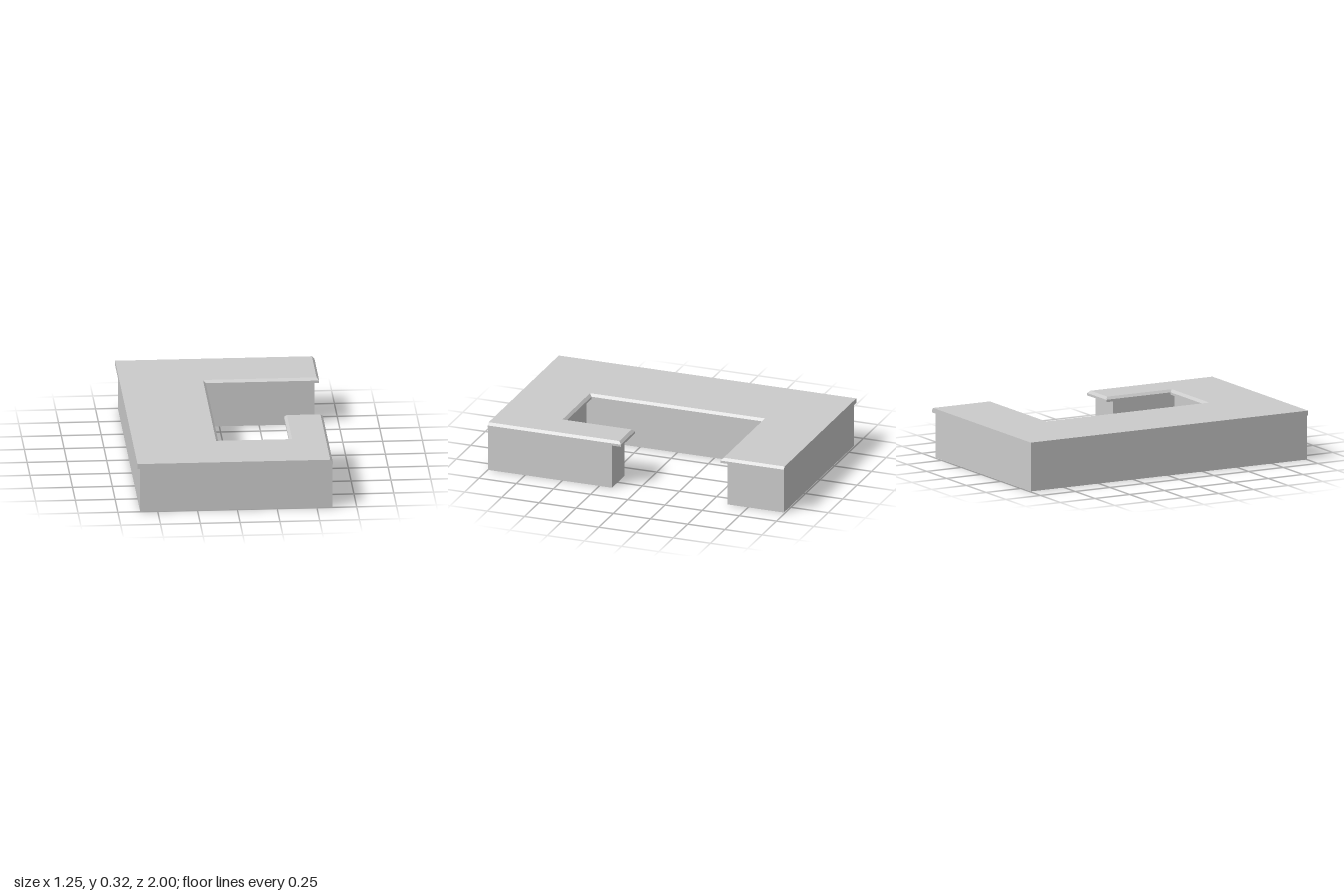
import * as THREE from 'three';

const material = new THREE.MeshStandardMaterial({ color: 0xcccccc, flatShading: true, side: THREE.DoubleSide });

// Plan outlines as [x, z], counter-clockwise seen from above
const bodyPlan = [
  [-0.61, 1], [0.598, 1], [0.598, 0.165], [0.38, 0.165], [0.38, 0.61],
  [-0.105, 0.61], [-0.105, -0.61], [0.598, -0.61], [0.598, -0.99], [-0.61, -0.99],
];
const topPlan = [
  [-0.627, 1], [0.6, 1], [0.6, 0.105], [0.357, 0.105], [0.357, 0.57],
  [-0.088, 0.57], [-0.088, -0.575], [0.625, -0.575], [0.625, -1], [-0.627, -1],
];
// Direction each corner moves for the chamfer; front, left and back edges stay square
const inset = [
  [0, 0], [-1, 0], [-1, 1], [1, 1], [1, 1],
  [-1, 1], [-1, -1], [-1, -1], [-1, 0], [0, 0],
];

const planShape = (plan) => new THREE.Shape(plan.map(([x, z]) => new THREE.Vector2(x, -z)));

// Walls joining stacked rings { y, plan }, closed by a cap at the bottom and top
function stackRings(rings) {
  const group = new THREE.Group();
  const pos = [];
  for (let r = 0; r < rings.length - 1; r++) {
    const lo = rings[r], hi = rings[r + 1], n = lo.plan.length;
    for (let i = 0; i < n; i++) {
      const j = (i + 1) % n;
      const at = (ring, k) => [ring.plan[k][0], ring.y, ring.plan[k][1]];
      const a = at(lo, i), b = at(lo, j), c = at(hi, j), d = at(hi, i);
      pos.push(...a, ...b, ...c, ...a, ...c, ...d);
    }
  }
  const walls = new THREE.BufferGeometry();
  walls.setAttribute('position', new THREE.Float32BufferAttribute(pos, 3));
  walls.computeVertexNormals();
  const add = (geometry, name) => {
    const mesh = new THREE.Mesh(geometry, material);
    mesh.name = name;
    group.add(mesh);
  };
  add(walls, 'countertopEdge');
  const top = rings[rings.length - 1];
  add(new THREE.ShapeGeometry(planShape(top.plan)).rotateX(-Math.PI / 2).translate(0, top.y, 0), 'countertopSurface');
  // Underside: mirrored in z so that it faces down
  const under = rings[0].plan.map(([x, z]) => [x, -z]);
  add(new THREE.ShapeGeometry(planShape(under)).rotateX(Math.PI / 2).translate(0, rings[0].y, 0), 'countertopUnderside');
  return group;
}

export function createModel() {
  const model = new THREE.Group();
  model.name = 'counter';

  // Cabinet body
  const body = new THREE.Mesh(
    new THREE.ExtrudeGeometry(planShape(bodyPlan), { depth: 0.285, bevelEnabled: false }).rotateX(-Math.PI / 2),
    material,
  );
  body.name = 'counterBody';
  model.add(body);

  // Overhanging countertop, chamfered on the inner and right-hand edges
  const chamfer = 0.016;
  const surfacePlan = topPlan.map(([x, z], i) => [x + inset[i][0] * chamfer, z + inset[i][1] * chamfer]);
  const countertop = stackRings([
    { y: 0.285, plan: topPlan },
    { y: 0.3, plan: topPlan },
    { y: 0.316, plan: surfacePlan },
  ]);
  countertop.name = 'countertop';
  model.add(countertop);

  return model;
}
